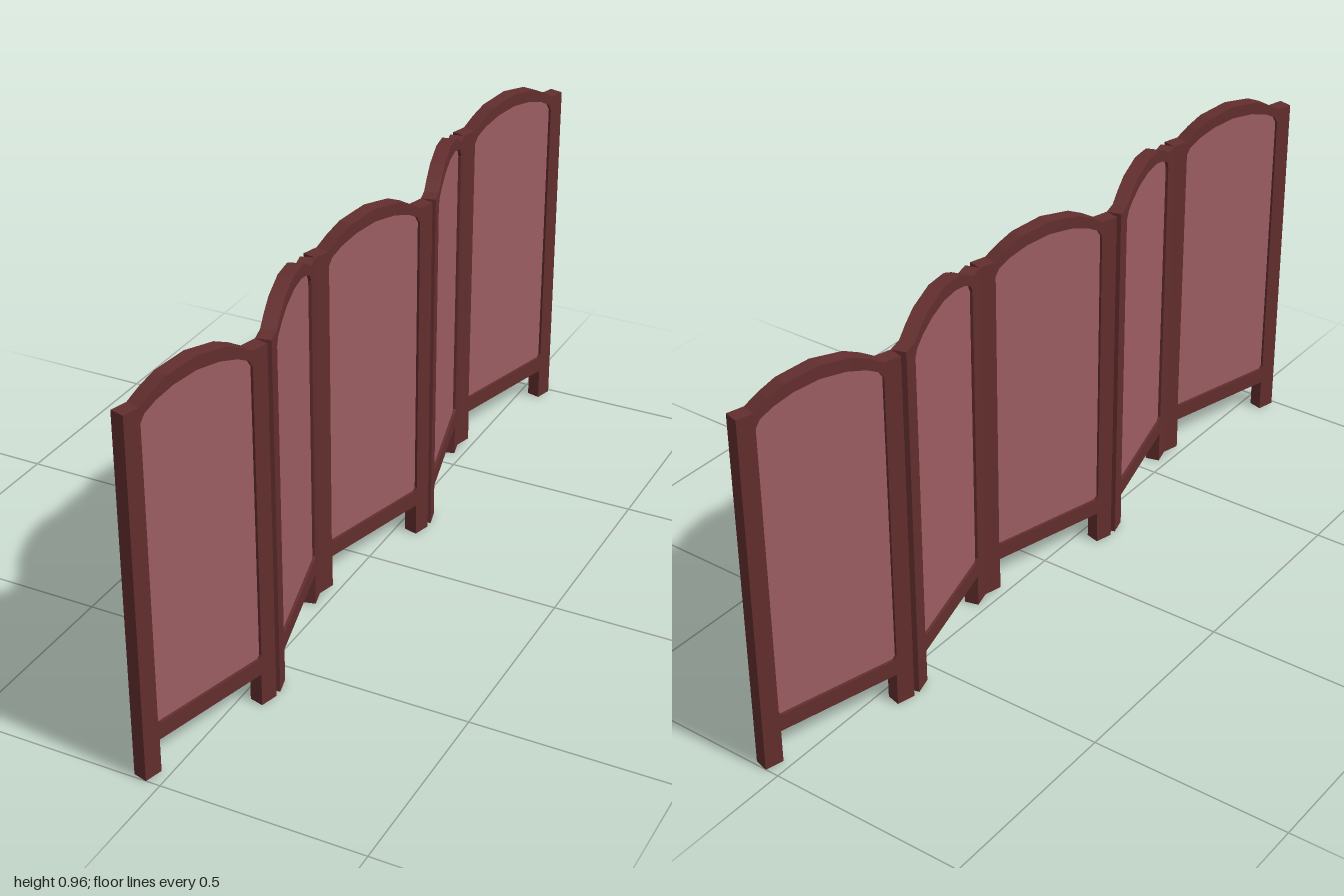
import * as THREE from 'three';

const PANELS = 5, PITCH = 0.4, FOLD = THREE.MathUtils.degToRad(15);
const HALF_W = 0.2025, DEPTH = 0.036, FABRIC_DEPTH = 0.022;

// Completes a left-right symmetric outline from its right half (bottom to top centre)
function mirrored(half) {
  const left = half.filter(([x]) => x > 0).reverse().map(([x, y]) => [-x, y]);
  return [...half, ...left].map(([x, y]) => new THREE.Vector2(x, y));
}

// Extrudes a shape, centred on its own thickness
function slab(shape, depth) {
  return new THREE.ExtrudeGeometry(shape, { depth, bevelEnabled: false }).translate(0, 0, -depth / 2);
}

export function createModel() {
  const wood = new THREE.MeshStandardMaterial({ color: 0x632e2e });
  wood.name = 'dark red wood';
  const cloth = new THREE.MeshStandardMaterial({ color: 0x9c5d61 });
  cloth.name = 'dusty rose fabric';

  // Frame outline: rail underside, leg, post, faceted arch
  const outline = mirrored([
    [0.156, 0.085], [0.156, 0], [HALF_W, 0], [HALF_W, 0.905],
    [0.16, 0.905], [0.125, 0.926], [0.083, 0.945], [0, 0.957],
  ]);
  // Opening with clipped lower corners and arched top
  const opening = mirrored([
    [0.151, 0.128], [0.158, 0.136], [0.158, 0.868],
    [0.147, 0.886], [0.115, 0.903], [0.065, 0.918], [0, 0.925],
  ]);
  const frameShape = new THREE.Shape(outline);
  frameShape.holes.push(new THREE.Path(opening));
  const frameGeometry = slab(frameShape, DEPTH);

  // Fabric is slightly larger than the opening so its edge sits inside the frame
  const centre = new THREE.Vector2(0, 0.53);
  const fabricShape = new THREE.Shape(opening.map((p) => p.clone().sub(centre).multiplyScalar(1.02).add(centre)));
  const fabricGeometry = slab(fabricShape, FABRIC_DEPTH);

  // Zigzag row of hinged panels
  const screen = new THREE.Group();
  screen.name = 'foldingScreen';
  for (let i = 0; i < PANELS; i++) {
    const panel = new THREE.Group();
    panel.name = `panel${i + 1}`;
    const frame = new THREE.Mesh(frameGeometry, wood);
    frame.name = 'frame';
    const fabric = new THREE.Mesh(fabricGeometry, cloth);
    fabric.name = 'fabric';
    panel.add(frame, fabric);
    panel.position.z = ((PANELS - 1) / 2 - i) * PITCH;
    panel.rotation.y = Math.PI / 2 + (i % 2 ? FOLD : -FOLD);
    screen.add(panel);
  }
  return screen;
}
